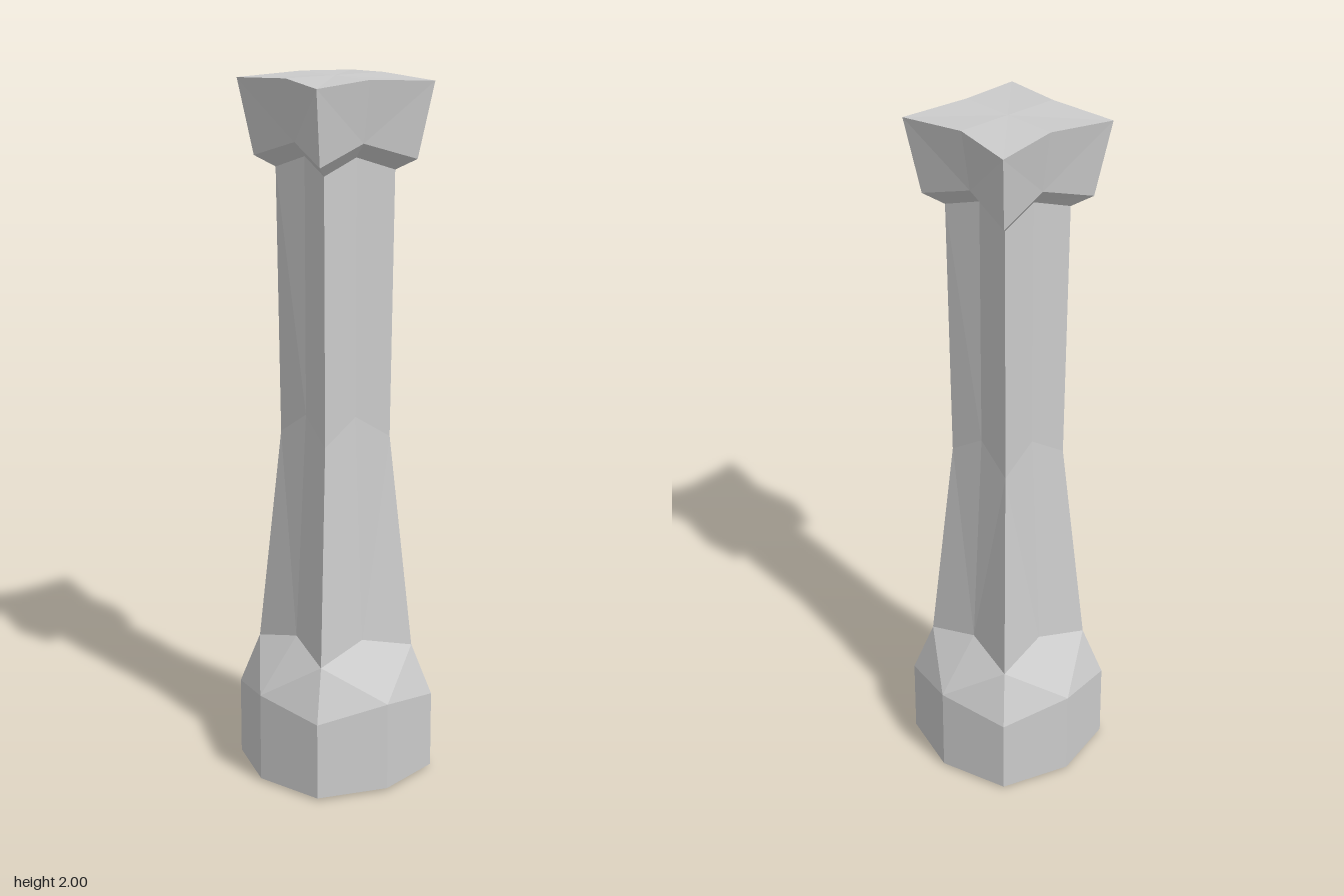
import * as THREE from 'three';

// Eight-sided rings, bottom to top: corner offset and height, mid-side offset and height
const RINGS = [
  [0.2, 0.007, 0.26, 0.008],
  [0.2, 0.23, 0.26, 0.265],
  [0.158, 0.378, 0.135, 0.42],
  [0.11, 1.0, 0.099, 1.07],
  [0.117, 1.75, 0.1, 1.79],
  [0.16, 1.78, 0.133, 1.83],
  [0.192, 1.99, 0.16, 2.0],
];

// Points of one ring, counter-clockwise seen from above
function ringPoints([corner, cornerY, mid, midY]) {
  return Array.from({ length: 8 }, (_, i) => {
    const angle = (i * Math.PI) / 4;
    const isCorner = i % 2 === 1;
    const r = isCorner ? corner * Math.SQRT2 : mid;
    return [r * Math.sin(angle), isCorner ? cornerY : midY, r * Math.cos(angle)];
  });
}

// Flat-shaded skin through a run of rings, with optional end faces
function loft(name, rings, { bottom = false, top = false } = {}) {
  const loops = rings.map(ringPoints);
  const positions = [];
  const tri = (a, b, c) => positions.push(...a, ...b, ...c);
  for (let k = 0; k < loops.length - 1; k++) {
    for (let i = 0; i < 8; i++) {
      const j = (i + 1) % 8;
      const [a, b, c, d] = [loops[k][i], loops[k][j], loops[k + 1][j], loops[k + 1][i]];
      // split every side panel symmetrically about its middle
      if (i % 2 === 0) { tri(a, b, c); tri(a, c, d); }
      else { tri(a, b, d); tri(b, c, d); }
    }
  }
  const cap = (loop, y, up) => {
    for (let i = 0; i < 8; i++) {
      const j = (i + 1) % 8;
      if (up) tri([0, y, 0], loop[i], loop[j]);
      else tri([0, y, 0], loop[j], loop[i]);
    }
  };
  if (bottom) cap(loops[0], 0, false);
  if (top) cap(loops[loops.length - 1], 2, true);

  const geometry = new THREE.BufferGeometry();
  geometry.setAttribute('position', new THREE.Float32BufferAttribute(positions, 3));
  geometry.computeVertexNormals();
  const mesh = new THREE.Mesh(
    geometry,
    new THREE.MeshStandardMaterial({ color: 0xcccccc, flatShading: true })
  );
  mesh.name = name;
  return mesh;
}

export function createModel() {
  const group = new THREE.Group();
  group.name = 'pillar';
  group.add(
    // octagonal plinth with its sloped shoulder
    loft('base', RINGS.slice(0, 3), { bottom: true }),
    // tapering, slightly fluted column
    loft('shaft', RINGS.slice(2, 5)),
    // flared head with pinched sides
    loft('capital', RINGS.slice(4), { top: true })
  );
  return group;
}
